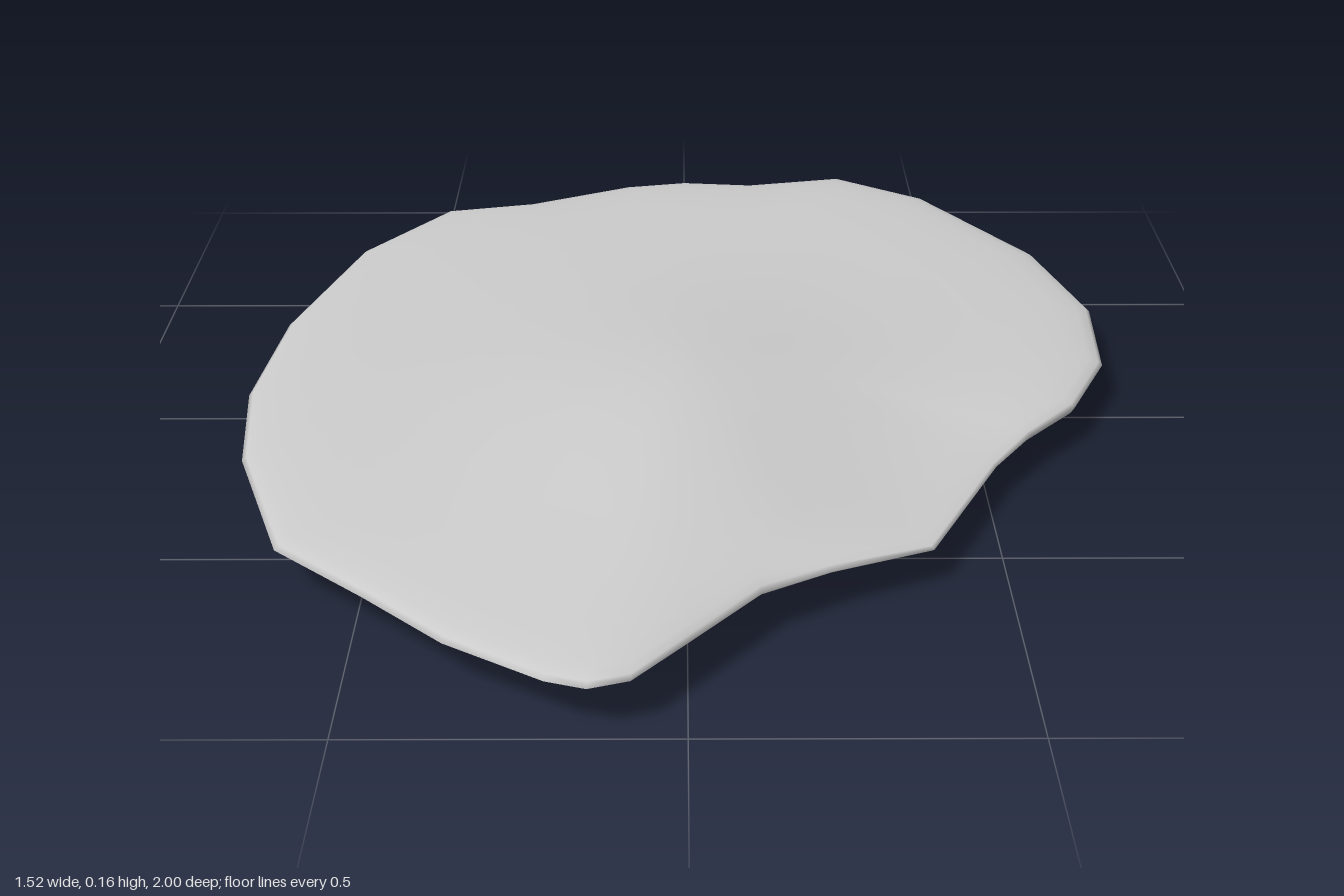
import * as THREE from 'three';

// Outline of the slab seen from above, as [x, z]
const OUTLINE = [
  [0.33, -1.0], [0.5, -0.88], [0.69, -0.57], [0.76, -0.3], [0.745, -0.06], [0.67, 0.11],
  [0.58, 0.21], [0.51, 0.31], [0.38, 0.59], [0.22, 0.67], [0.11, 0.74], [0, 0.88],
  [-0.08, 0.98], [-0.14, 1.0], [-0.2, 0.98], [-0.35, 0.88], [-0.48, 0.75], [-0.63, 0.61],
  [-0.73, 0.31], [-0.76, 0.06], [-0.735, -0.24], [-0.64, -0.59], [-0.49, -0.81],
  [-0.32, -0.85], [-0.12, -0.95], [0, -0.975], [0.14, -0.96],
];
// Ring sizes from the middle to the rim
const RINGS = [0.12, 0.24, 0.36, 0.48, 0.6, 0.7, 0.79, 0.86, 0.92, 0.965, 0.99];

const bump = (x, z, cx, cz, wx, wz) => Math.exp(-((x - cx) ** 2 / wx + (z - cz) ** 2 / wz));
const hollow = (x, z) => bump(x, z, 0.4, 0.42, 0.06, 0.06);

// Heights: rim, humped top with a hollow at the front left, gently tilted underside
const rimY = (x, z) => 0.077 + 0.008 * Math.max(0, z) - 0.02 * hollow(x, z);
const topY = (x, z) => 0.112 + 0.056 * bump(x, z, 0, 0.22, 0.1, 0.22) - 0.045 * hollow(x, z);
const bottomY = (x, z) => 0.002 + 0.045 * Math.max(0, z + 0.35) / 1.1
  + 0.01 * bump(x, z, 0.25, 0.4, 0.03, 0.2);

function stoneGeometry() {
  const n = OUTLINE.length;
  const positions = [];
  const index = [];

  // Loops run from the top middle over the rim to the bottom middle
  const loops = [
    ...RINGS.map((s) => [s, topY]),
    [1, rimY],
    ...[...RINGS].reverse().map((s) => [s, bottomY]),
  ];
  positions.push(0, topY(0, 0), 0);
  for (const [s, surface] of loops) {
    const swell = Math.sqrt(1 - s ** 4);
    for (const [ox, oz] of OUTLINE) {
      const x = ox * s, z = oz * s;
      positions.push(x, THREE.MathUtils.lerp(rimY(ox, oz), surface(x, z), swell), z);
    }
  }
  const last = positions.length / 3;
  positions.push(0, bottomY(0, 0), 0);

  const at = (loop, i) => 1 + loop * n + (i % n);
  for (let i = 0; i < n; i++) {
    index.push(0, at(0, i + 1), at(0, i));
    for (let k = 0; k < loops.length - 1; k++) {
      const a = at(k, i), b = at(k, i + 1), c = at(k + 1, i), d = at(k + 1, i + 1);
      index.push(a, b, c, b, d, c);
    }
    index.push(last, at(loops.length - 1, i), at(loops.length - 1, i + 1));
  }

  const geometry = new THREE.BufferGeometry();
  geometry.setAttribute('position', new THREE.Float32BufferAttribute(positions, 3));
  geometry.setIndex(index);
  geometry.computeVertexNormals();
  return geometry;
}

export function createModel() {
  const group = new THREE.Group();
  group.name = 'flatStone';
  const stone = new THREE.Mesh(
    stoneGeometry(),
    new THREE.MeshStandardMaterial({ color: 0xcccccc }),
  );
  stone.name = 'stoneSlab';
  // Rest the lowest point on the ground
  stone.geometry.computeBoundingBox();
  stone.position.y = -stone.geometry.boundingBox.min.y;
  group.add(stone);
  return group;
}
